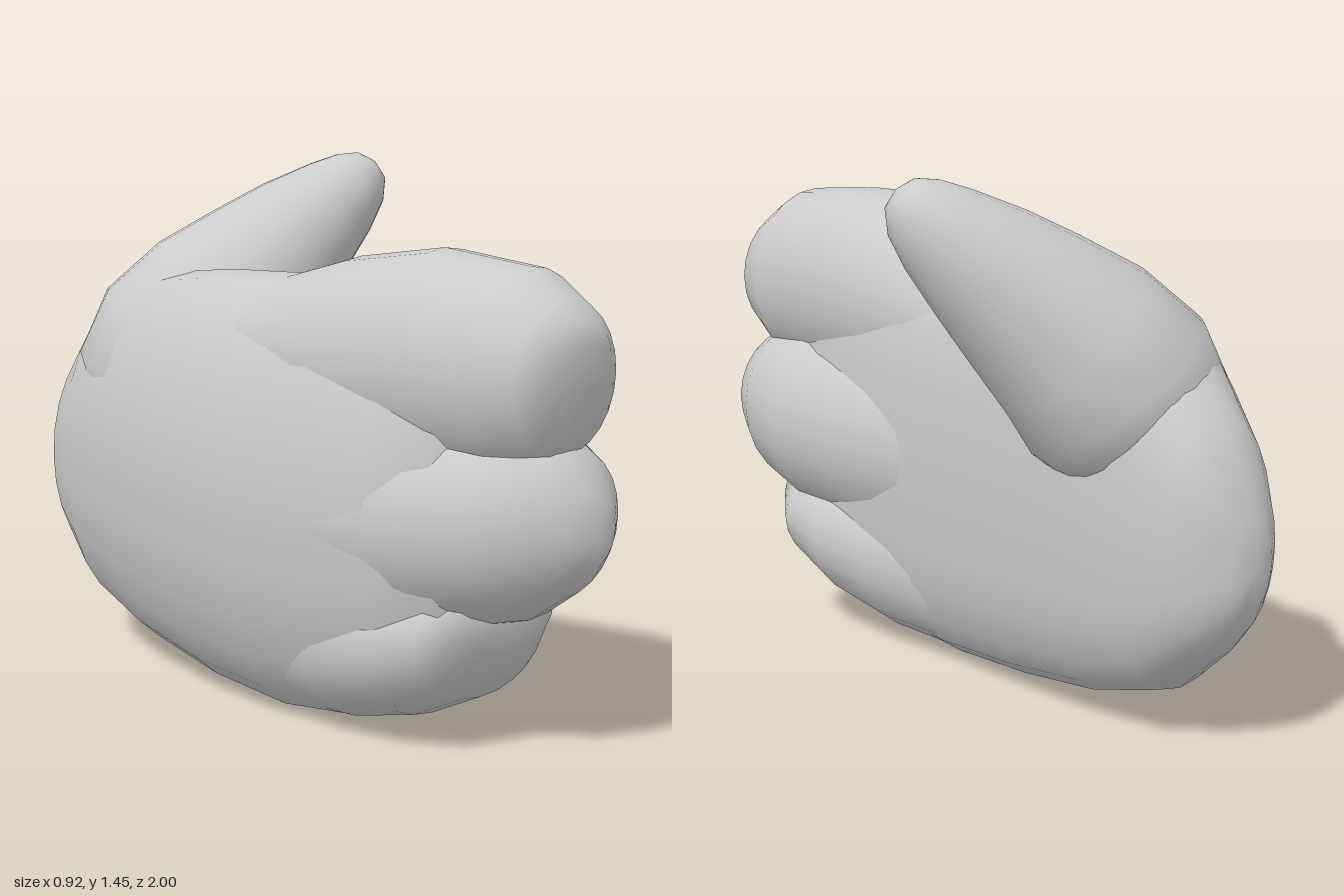
import * as THREE from 'three';

const SIDES = 24;

// Closed skin over a list of rings { c, u, v }; poles close both ends.
// flat below 1 squares off the +u half of every ring.
function skin(rings, start, end, flat = 1) {
  const pos = [...start], index = [], last = rings.length * SIDES + 1;
  for (const { c, u, v } of rings) {
    for (let i = 0; i < SIDES; i++) {
      const a = (i / SIDES) * Math.PI * 2, cos = Math.cos(a), sin = Math.sin(a);
      const e = cos > 0 ? flat : 1;
      const p = c.clone()
        .addScaledVector(u, Math.sign(cos) * Math.abs(cos) ** e)
        .addScaledVector(v, Math.sign(sin) * Math.abs(sin) ** e);
      pos.push(p.x, p.y, p.z);
    }
  }
  pos.push(...end);
  for (let i = 0; i < SIDES; i++) {
    const j = (i + 1) % SIDES;
    index.push(0, 1 + j, 1 + i);
    for (let r = 0; r < rings.length - 1; r++) {
      const a = 1 + r * SIDES, b = a + SIDES;
      index.push(a + i, a + j, b + i, a + j, b + j, b + i);
    }
    index.push(last - SIDES + i, last - SIDES + j, last);
  }
  const g = new THREE.BufferGeometry();
  g.setAttribute('position', new THREE.Float32BufferAttribute(pos, 3));
  g.setIndex(index);
  g.computeVertexNormals();
  return g;
}

// Upright oval sections along z: [z, xMin, xMax, yMin, yMax]
function ovals(rows, start, end, flat) {
  const rings = rows.map(([z, x0, x1, y0, y1]) => ({
    c: new THREE.Vector3((x0 + x1) / 2, (y0 + y1) / 2, z),
    u: new THREE.Vector3((x1 - x0) / 2, 0, 0),
    v: new THREE.Vector3(0, (y1 - y0) / 2, 0),
  }));
  return skin(rings, start, end, flat);
}

// Round sections across a curved path: [x, y, z, radius]
function taperedTube(rows, start, end) {
  const pts = rows.map(r => new THREE.Vector3(r[0], r[1], r[2]));
  const rings = pts.map((c, i) => {
    const w = pts[Math.min(i + 1, pts.length - 1)].clone().sub(pts[Math.max(i - 1, 0)]).normalize();
    const u = new THREE.Vector3(0, 1, 0).cross(w).normalize();
    const v = w.clone().cross(u);
    return { c, u: u.multiplyScalar(rows[i][3]), v: v.multiplyScalar(rows[i][3]) };
  });
  return skin(rings, start, end);
}

export function createModel() {
  const group = new THREE.Group();
  const material = new THREE.MeshStandardMaterial({ color: 0xcccccc });
  const add = (name, geometry) => {
    const mesh = new THREE.Mesh(geometry, material);
    mesh.name = name;
    group.add(mesh);
  };

  // Palm: rounded back of the hand on -x, flatter inside on +x, filling in between the fingers
  add('palm', ovals([
    [-0.985, -0.26, -0.13, 0.40, 0.63],
    [-0.94, -0.31, -0.06, 0.32, 0.77],
    [-0.88, -0.35, -0.01, 0.25, 0.88],
    [-0.74, -0.40, 0.05, 0.13, 1.04],
    [-0.5, -0.435, 0.08, 0.06, 1.14],
    [-0.2, -0.46, 0.10, 0.02, 1.18],
    [0.1, -0.45, 0.12, 0.005, 1.2],
    [0.33, -0.41, 0.135, 0.03, 1.22],
    [0.55, -0.345, 0.145, 0.1, 1.17],
    [0.7, -0.26, 0.13, 0.24, 1.08],
  ], [-0.2, 0.51, -1.0], [-0.04, 0.7, 0.82], 0.72));

  // Three fingers, side by side from top to bottom
  add('upperFinger', ovals([
    [-0.25, -0.31, -0.02, 0.78, 1.12],
    [0.03, -0.37, 0.07, 0.74, 1.185],
    [0.28, -0.355, 0.115, 0.72, 1.26],
    [0.55, -0.31, 0.165, 0.73, 1.305],
    [0.81, -0.24, 0.195, 0.75, 1.28],
    [0.92, -0.18, 0.17, 0.82, 1.21],
    [0.96, -0.09, 0.11, 0.98, 1.16],
  ], [-0.17, 0.95, -0.35], [0.02, 1.1, 0.975]));

  add('middleFinger', ovals([
    [-0.25, -0.38, 0.03, 0.36, 0.86],
    [0.1, -0.42, 0.115, 0.3, 0.9],
    [0.4, -0.39, 0.195, 0.3, 0.92],
    [0.64, -0.325, 0.25, 0.33, 0.92],
    [0.81, -0.25, 0.235, 0.38, 0.9],
    [0.92, -0.17, 0.19, 0.46, 0.84],
    [0.98, -0.05, 0.12, 0.54, 0.73],
  ], [-0.17, 0.6, -0.35], [0.05, 0.62, 1.0]));

  add('lowerFinger', ovals([
    [-0.2, -0.31, 0.0, 0.07, 0.46],
    [0.1, -0.35, 0.09, 0.015, 0.5],
    [0.32, -0.35, 0.14, 0.025, 0.5],
    [0.52, -0.325, 0.18, 0.075, 0.5],
    [0.67, -0.27, 0.185, 0.15, 0.5],
    [0.74, -0.18, 0.145, 0.28, 0.48],
  ], [-0.17, 0.23, -0.3], [-0.02, 0.38, 0.77]));

  // Thumb, growing out of the heel of the hand and narrowing to a round tip
  add('thumb', taperedTube([
    [-0.2, 0.66, -0.62, 0.14],
    [-0.17, 0.79, -0.585, 0.25],
    [-0.1, 0.91, -0.55, 0.28],
    [0.0, 1.03, -0.505, 0.255],
    [0.12, 1.14, -0.455, 0.215],
    [0.23, 1.24, -0.415, 0.175],
    [0.33, 1.33, -0.37, 0.13],
    [0.385, 1.385, -0.345, 0.095],
    [0.415, 1.42, -0.33, 0.055],
  ], [-0.2, 0.58, -0.65], [0.425, 1.432, -0.325]));

  return group;
}
